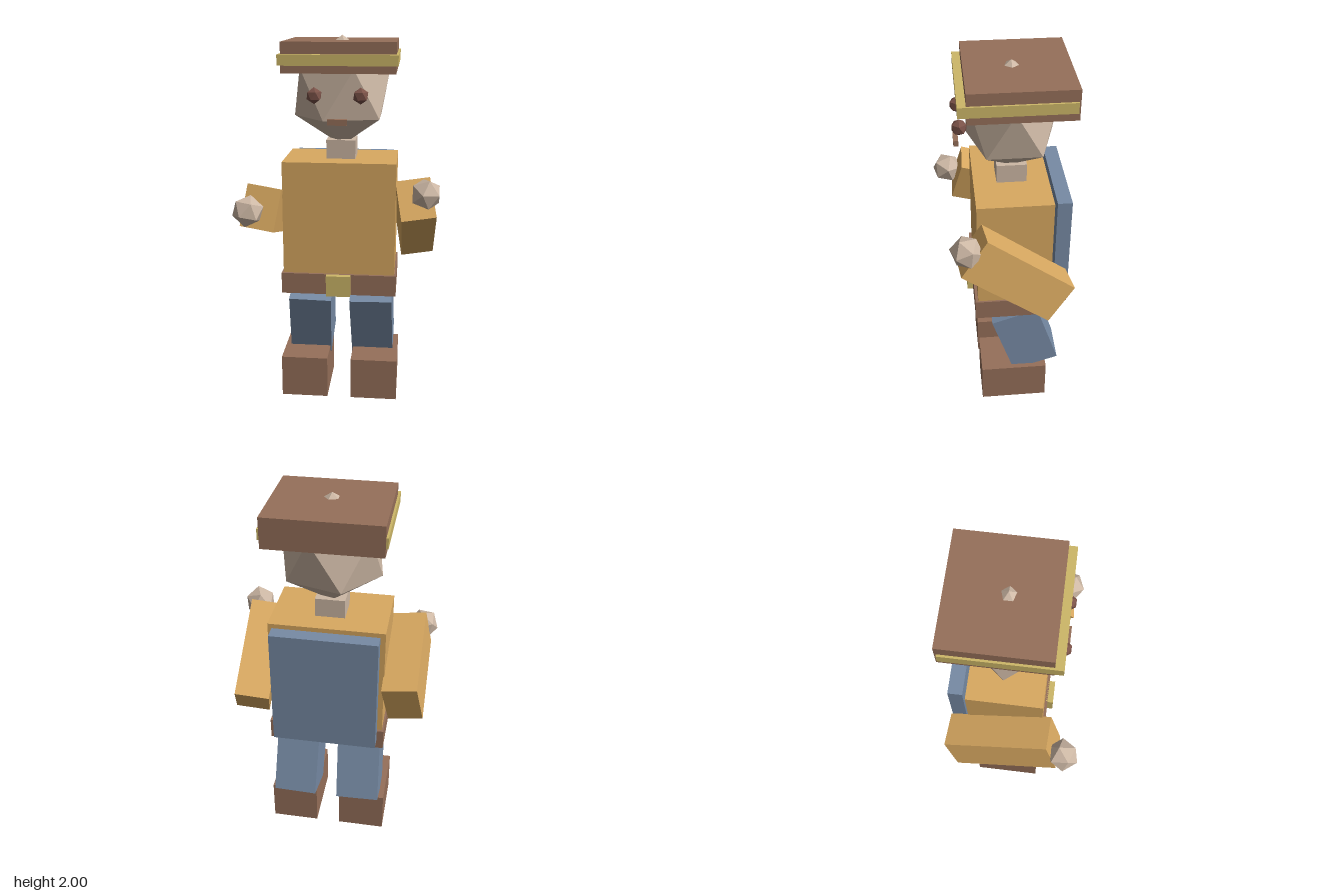
import * as THREE from 'three';
import { ConvexGeometry } from 'three/addons/geometries/ConvexGeometry.js';

const mat = (name, color) => {
  const m = new THREE.MeshStandardMaterial({ color });
  m.name = name;
  return m;
};

// Twenty-sided ball with its poles on the y axis
function ballGeometry(rx, ry, rz) {
  const h = 1 / Math.sqrt(5), r = 2 * h;
  const points = [new THREE.Vector3(0, ry, 0), new THREE.Vector3(0, -ry, 0)];
  for (let i = 0; i < 5; i++) {
    const a = (i * 2 * Math.PI) / 5;
    points.push(new THREE.Vector3(r * Math.cos(a) * rx, h * ry, r * Math.sin(a) * rz));
    points.push(new THREE.Vector3(-r * Math.cos(a) * rx, -h * ry, -r * Math.sin(a) * rz));
  }
  return new ConvexGeometry(points);
}

export function createModel() {
  const model = new THREE.Group();
  model.name = 'blockFigure';
  const shirt = mat('ochre shirt', 0xd9a961);
  const brown = mat('brown leather', 0x96705a);
  const gold = mat('gold trim', 0xcdb768);
  const skin = mat('pale skin', 0xcdb8a5);
  const blue = mat('blue cloth', 0x778ba5);
  const dark = mat('dark brown eyes', 0x7a5248);

  const add = (name, geometry, material, pos, rot = [0, 0, 0]) => {
    const mesh = new THREE.Mesh(geometry, material);
    mesh.name = name;
    mesh.position.set(...pos);
    mesh.rotation.set(...rot.map(THREE.MathUtils.degToRad));
    model.add(mesh);
  };
  const box = (name, size, material, pos, rot) =>
    add(name, new THREE.BoxGeometry(...size), material, pos, rot);
  const ball = (name, r, material, pos, rot) =>
    add(name, ballGeometry(...r), material, pos, rot);

  // Body
  box('torso', [0.6, 0.61, 0.39], shirt, [0, 1.055, -0.055]);
  box('belt', [0.62, 0.115, 0.42], brown, [0, 0.693, -0.055]);
  box('buckle', [0.13, 0.115, 0.04], gold, [0, 0.693, 0.167]);
  box('backpack', [0.55, 0.65, 0.075], blue, [0, 1.022, -0.305]);
  box('neck', [0.155, 0.11, 0.155], skin, [0, 1.405, -0.057]);

  // Head and cap
  ball('head', [0.285, 0.29, 0.262], skin, [0, 1.71, -0.058]);
  box('cap', [0.58, 0.155, 0.52], brown, [0, 1.8975, -0.085]);
  box('capBand', [0.602, 0.054, 0.552], gold, [0, 1.888, -0.06]);
  box('mouth', [0.1, 0.03, 0.025], brown, [0, 1.585, 0.22]);

  for (const [side, s] of [['left', 1], ['right', -1]]) {
    // Eyes, legs and boots mirror each other
    ball(side + 'Eye', [0.042, 0.042, 0.042], dark, [s * 0.117, 1.715, 0.204]);
    box(side + 'Leg', [0.235, 0.386, 0.262], blue, [s * 0.174, 0.419, -0.122], [18.4, 0, s * 1.4]);
    box(side + 'Boot', [0.258, 0.235, 0.368], brown, [s * 0.195, 0.1175, -0.057]);
  }

  // Arms raised to different heights, each with a hand at its front end
  const arms = [
    ['left', 1, 36.5, 1.023, -0.046, [0.455, 1.22, 0.2]],
    ['right', -1, 15.5, 1.056, -0.052, [-0.46, 1.125, 0.265]],
  ];
  for (const [side, s, pitch, y, z, hand] of arms) {
    const rot = [-pitch, 0, s * 9.4];
    box(side + 'Arm', [0.182, 0.228, 0.546], shirt, [s * 0.404, y, z], rot);
    ball(side + 'Hand', [0.085, 0.085, 0.085], skin, hand, rot);
  }
  return model;
}
